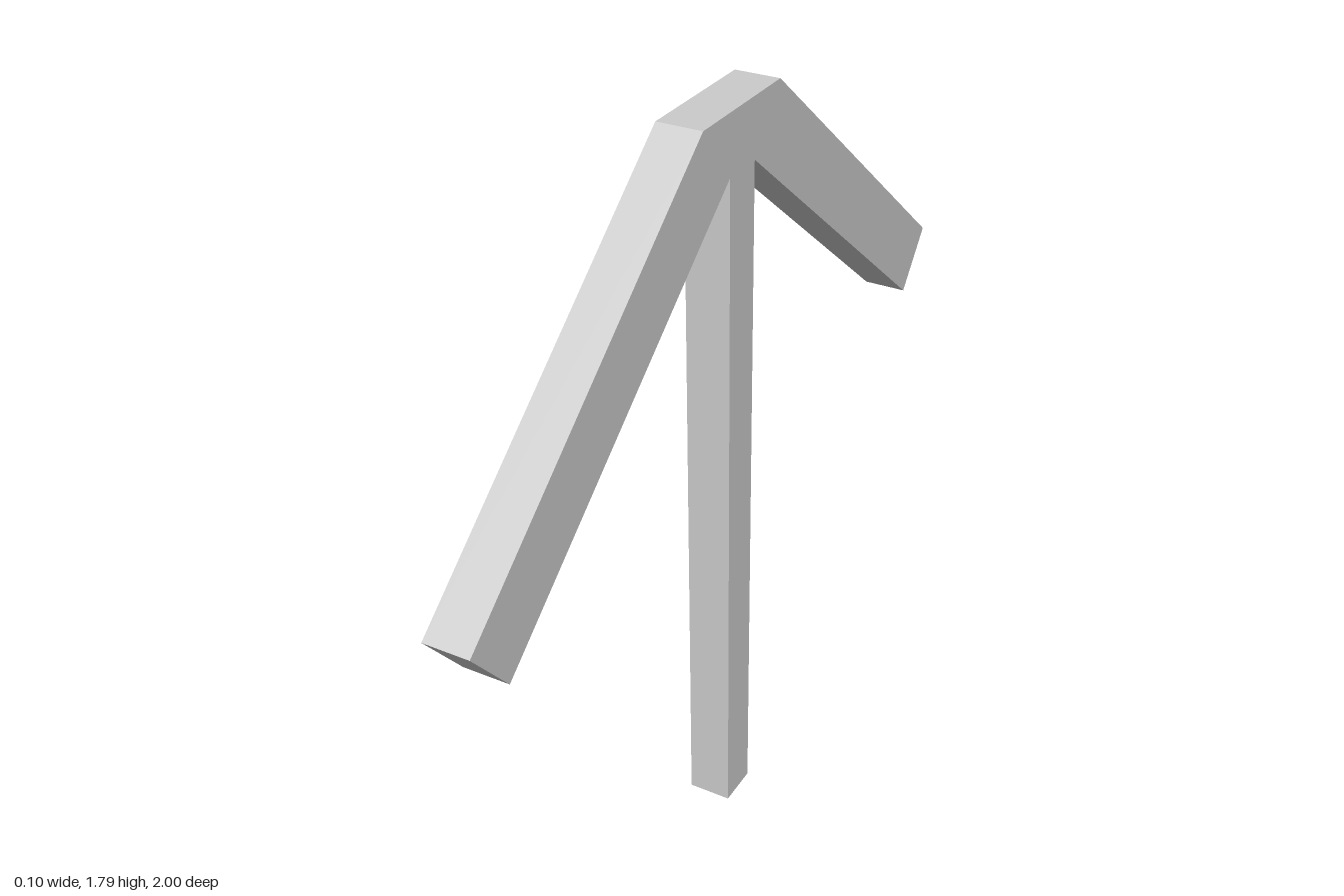
import * as THREE from 'three';

const WIDTH = 0.104;

export function createModel() {
  const group = new THREE.Group();
  group.name = 'postWithArms';

  // One half of the side outline (z, y): post, underside of arm, arm end, flat top
  const half = [
    [WIDTH / 2, 0],
    [WIDTH / 2, 1.66],
    [0.893, 0.99],
    [1, 1.122],
    [0.16, 1.795],
  ];
  const mirrored = half.map(([z, y]) => [-z, y]).reverse();
  const outline = [...half, ...mirrored].map(([z, y]) => new THREE.Vector2(z, y));

  // Extrude the outline across the width and turn it into the z-y plane
  const geometry = new THREE.ExtrudeGeometry(new THREE.Shape(outline), {
    depth: WIDTH,
    bevelEnabled: false,
  });
  geometry.translate(0, 0, -WIDTH / 2);
  geometry.rotateY(-Math.PI / 2);

  const material = new THREE.MeshStandardMaterial({ color: 0xcccccc, flatShading: true });
  const frame = new THREE.Mesh(geometry, material);
  frame.name = 'postAndSlopingArms';
  group.add(frame);
  return group;
}
